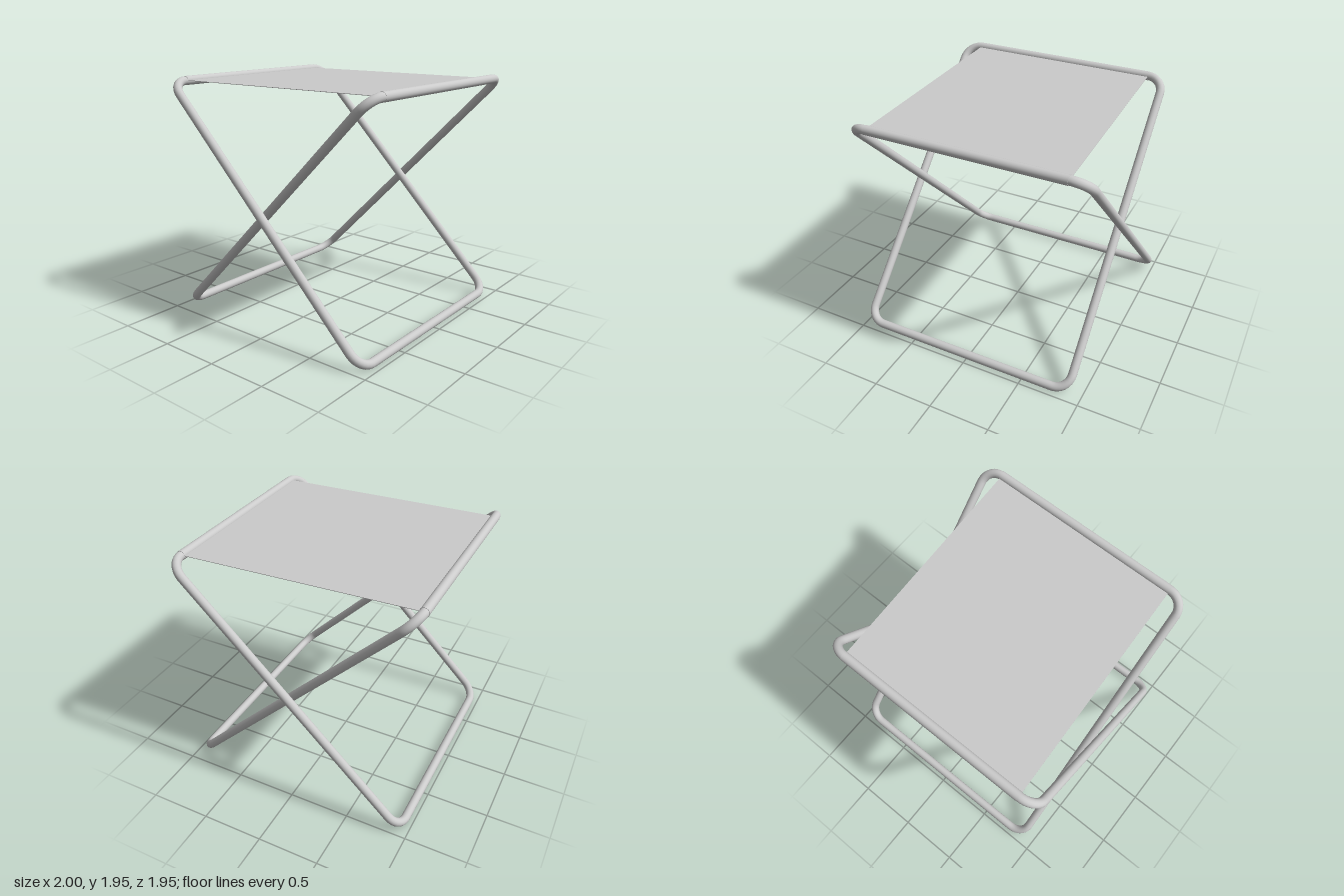
import * as THREE from 'three';

const TUBE_R = 0.035, SLEEVE_R = 0.037;
const HALF_W = 0.928, HALF_L = 1.324, BEND = 0.135;
const MID_Y = 0.974, RISE = 0.938, REACH = 0.936;
const SHIFT = 0.0375; // sideways offset that lets the two loops cross
const SEAT_W = 1.585;

const grey = new THREE.MeshStandardMaterial({ color: 0xcccccc, side: THREE.DoubleSide });

function add(parent, name, geometry) {
  const mesh = new THREE.Mesh(geometry, grey);
  mesh.name = name;
  parent.add(mesh);
  return mesh;
}

// Rounded rectangular loop, leaning so that its top ends at z = dir * REACH
function loopPath(dir) {
  const at = (u, v) => new THREE.Vector3(
    u + dir * SHIFT, MID_Y + (v / HALF_L) * RISE, dir * (v / HALF_L) * REACH);
  const path = new THREE.CurvePath();
  const a = HALF_W, b = HALF_L, k = BEND * (1 - 0.5523);
  const corners = [[1, 1], [-1, 1], [-1, -1], [1, -1]];
  let last = at(a, -b + BEND);
  corners.forEach(([sx, sy], i) => {
    const onSide = (d) => at(sx * a, sy * (b - d));
    const onBar = (d) => at(sx * (a - d), sy * b);
    const [from, to] = i % 2 === 0 ? [onSide, onBar] : [onBar, onSide];
    path.add(new THREE.LineCurve3(last, from(BEND)));
    path.add(new THREE.CubicBezierCurve3(from(BEND), from(k), to(k), to(BEND)));
    last = to(BEND);
  });
  return path;
}

export function createModel() {
  const stool = new THREE.Group();
  stool.name = 'foldingStool';

  // Crossed tubular frames, each with a fabric sleeve round its top bar
  for (const [dir, label] of [[1, 'frontTop'], [-1, 'backTop']]) {
    add(stool, label + 'Frame', new THREE.TubeGeometry(loopPath(dir), 320, TUBE_R, 16, true));
    const sleeve = add(stool, label + 'Sleeve',
      new THREE.CylinderGeometry(SLEEVE_R, SLEEVE_R, SEAT_W, 20).rotateZ(Math.PI / 2));
    sleeve.position.set(dir * SHIFT, MID_Y + RISE, dir * REACH);
  }

  // Thin fabric seat, sheared to join the two offset sleeves
  const fabric = new THREE.BoxGeometry(SEAT_W, 0.004, 2 * REACH);
  const p = fabric.attributes.position;
  for (let i = 0; i < p.count; i++) p.setX(i, p.getX(i) + (p.getZ(i) / REACH) * SHIFT);
  fabric.computeVertexNormals();
  add(stool, 'seatFabric', fabric).position.y = MID_Y + RISE + 0.003;

  return stool;
}
